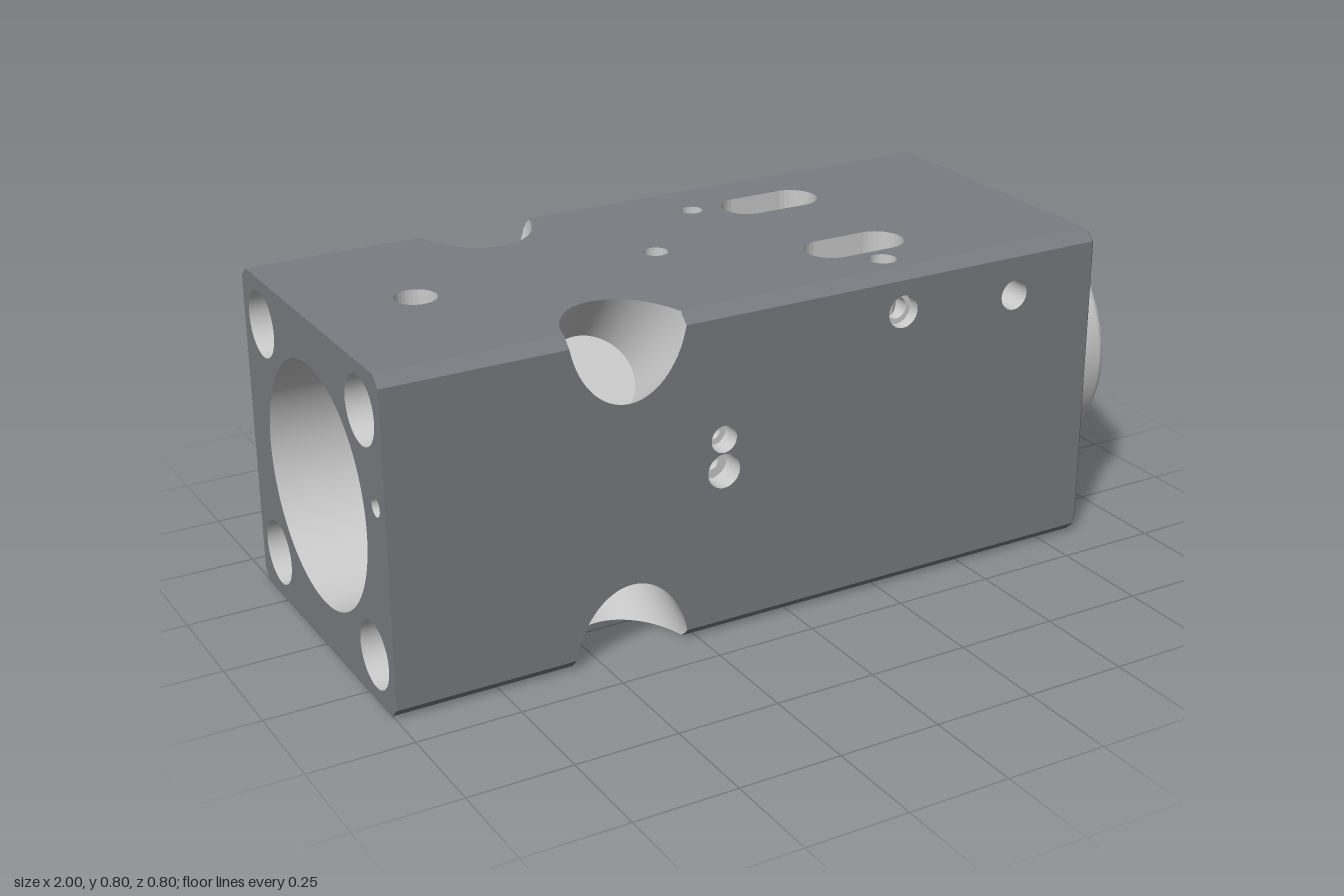
import * as THREE from 'three';
import { toCreasedNormals } from 'three/addons/utils/BufferGeometryUtils.js';
import { ParametricGeometry } from 'three/addons/geometries/ParametricGeometry.js';

const dark = new THREE.MeshStandardMaterial({ color: 0x7b7d82, side: THREE.DoubleSide });
const light = new THREE.MeshStandardMaterial({ color: 0xcccccc, side: THREE.DoubleSide });

const X0 = -1, X1 = 0.85, H = 0.4, C = 0.025, BORE = 0.29, BORE_END = 0.7;
const BOLT = 0.29, BOLT_R = 0.05;
// corner pockets: tapered, flat-bottomed, drilled diagonally through the long edges
const PX = -0.42, PR = 0.147, TAPER = 0.157, PD = 0.26;
const pocketR = d => PR - TAPER * d;
const cutDepth = s => PR * s / (1 + TAPER * s);
const D0 = C / Math.SQRT2, A0 = Math.asin(D0 / pocketR(D0));
const BOLT_D = (H - BOLT) * Math.SQRT2;

function add(parent, name, geometry, material = light) {
  const mesh = new THREE.Mesh(geometry, material);
  mesh.name = name;
  parent.add(mesh);
  return mesh;
}

const sheet = (f, nu, nv = 1) => new ParametricGeometry((u, v, p) => p.set(...f(u, v)), nu, nv);

// round (half = 0) or slotted hole outline
function outline(x, y, r, half = 0, n = 32) {
  return Array.from({ length: n }, (_, i) => {
    const a = (i + 0.5) / n * Math.PI * 2;
    return new THREE.Vector2(x + r * Math.cos(a) + Math.sign(Math.cos(a)) * half, y + r * Math.sin(a));
  });
}

function plate(points, holes) {
  const shape = new THREE.Shape(points);
  for (const h of holes) shape.holes.push(new THREE.Path(outline(...h)));
  return new THREE.ShapeGeometry(shape);
}

// wall of a hole running along z, from zTop to zEnd (a number, or a rule of the height)
function holeWall(x, y, r, half, zTop, zEnd, n = 32) {
  const pts = outline(x, y, r, half, n);
  return sheet((u, v) => {
    const p = pts[Math.round(u * n) % n];
    const e = typeof zEnd === 'number' ? zEnd : zEnd(p.y);
    return [p.x, p.y, zTop + (e - zTop) * v];
  }, n);
}
const toBore = y => Math.sqrt(Math.max(0, BORE * BORE - y * y));

// holes of one side: x, y, radius, half slot, depth (none = into bore), inner radius, inner depth, open
const pins = [[-0.74, 0, 0.05, 0], [-0.13, 0, 0.03, 0]];
const slots = [[0.3, 0.19, 0.065, 0.065], [0.3, -0.19, 0.065, 0.065]];
const sideHoles = s => [
  [0.3, 0.298 * s, 0.04, 0, 0.03, 0.027, 0.145, true],
  [0.62, 0.28 * s, 0.037, 0, 0.08],
];
const sides = [
  ['front', [...sideHoles(1), [-0.18, 0.083, 0.033, 0, 0.05, 0.018, 0.09], [-0.18, 0.005, 0.042, 0, 0.06, 0.02, 0.09]]],
  ['bottom', [...pins, ...slots, [0.1, -0.23, 0.027, 0], [0.3, 0.31, 0.033, 0]]],
  ['back', sideHoles(-1)],
  ['top', [...pins, ...slots, [0.1, 0.23, 0.027, 0], [0.3, -0.31, 0.033, 0]]],
];

// side face with two bites where the pockets break through
function sideOutline() {
  const bite = [];
  for (let i = 0; i <= 32; i++) {
    const a = Math.PI - A0 - (Math.PI - 2 * A0) * i / 32, d = cutDepth(Math.sin(a));
    bite.push(new THREE.Vector2(PX + pocketR(d) * Math.cos(a), Math.SQRT2 * d - H));
  }
  const lower = [new THREE.Vector2(X0, C - H), ...bite, new THREE.Vector2(X1, C - H)];
  return [...lower, ...lower.map(p => new THREE.Vector2(p.x, -p.y)).reverse()];
}

function addSide(parent, name, holes) {
  add(parent, name + 'Face', plate(sideOutline(), holes.map(h => h.slice(0, 4))), dark);
  for (const [x, y, r, half, depth, inner = 0, depth2 = 0, open] of holes) {
    add(parent, name + 'HoleWall', holeWall(x, y, r, half, 0, depth ? -depth : v => toBore(v) - H));
    if (!depth) continue;
    const floor = inner ? new THREE.RingGeometry(inner, r, 32) : new THREE.CircleGeometry(r, 32);
    add(parent, name + 'HoleFloor', floor).position.set(x, y, -depth);
    if (!inner) continue;
    add(parent, name + 'InnerHole', holeWall(x, y, inner, 0, -depth, -depth2));
    if (!open) add(parent, name + 'InnerFloor', new THREE.CircleGeometry(inner, 24)).position.set(x, y, -depth2);
  }
}

function addPocket(parent) {
  const at = (a, d) => {
    const r = pocketR(d), s = r * Math.sin(a);
    return [PX + r * Math.cos(a), H + (s - d) / Math.SQRT2, H - (s + d) / Math.SQRT2];
  };
  const start = a => Math.max(D0, cutDepth(Math.abs(Math.sin(a))));
  const rb = pocketR(BOLT_D), beta = Math.asin(BOLT_R / rb);
  const strip = (a0, a1, from, to, n) => add(parent, 'cornerPocketWall', sheet((u, v) => {
    const a = a0 + (a1 - a0) * u, f = from(a), t = to(a);
    return at(a, f + (t - f) * v);
  }, n, 4));
  const half = a => Math.sqrt(Math.max(0, BOLT_R ** 2 - (rb * Math.sin(a)) ** 2));
  strip(beta - Math.PI, Math.PI - beta, start, () => PD, 72);
  strip(Math.PI - beta, Math.PI + beta, start, a => BOLT_D - half(a), 24);
  strip(Math.PI - beta, Math.PI + beta, a => BOLT_D + half(a), () => PD, 24);
  add(parent, 'cornerPocketFloor', sheet((u, v) => {
    const p = at(u * Math.PI * 2, PD), c = H - PD / Math.SQRT2;
    return [PX + (p[0] - PX) * v, c + (p[1] - c) * v, c + (p[2] - c) * v];
  }, 48));

  // bolt passage from the counterbore into the pocket
  add(parent, 'boltPassage', sheet((u, v) => {
    const a = u * Math.PI * 2, d = BOLT_D + BOLT_R * Math.cos(a), l = BOLT_R * Math.sin(a);
    const end = PX - Math.sqrt(pocketR(d) ** 2 - l * l);
    return [-0.75 + (end + 0.75) * v, H + (l - d) / Math.SQRT2, H - (l + d) / Math.SQRT2];
  }, 32));
}

// tube along x
function addTube(parent, name, y, z, r, xa, xb) {
  add(parent, name, sheet((u, v) => {
    const a = u * Math.PI * 2;
    return [xa + (xb - xa) * v, y + r * Math.cos(a), z + r * Math.sin(a)];
  }, 32));
}
function addDisc(parent, name, y, z, x, inner, r, facing) {
  const m = add(parent, name, inner ? new THREE.RingGeometry(inner, r, 32) : new THREE.CircleGeometry(r, 32));
  m.position.set(x, y, z);
  m.rotation.y = facing * Math.PI / 2;
}

// main bore, strip by strip around the axis, leaving gaps for the cross holes
function boreWall() {
  const chord = (r, t) => Math.sqrt(Math.max(0, r * r - t * t));
  const edges = i => {
    const a = i / 180 * Math.PI * 2, y = BORE * Math.cos(a), z = BORE * Math.sin(a);
    const inSlot = chord(0.065, Math.abs(z) - 0.19);
    const gaps = [[-0.74, chord(0.05, z)], [0.1, chord(0.027, z + 0.23)],
      [0.3, inSlot ? inSlot + 0.065 : chord(0.027, y - 0.298)]];
    return [X0, ...gaps.flatMap(([x, w]) => [x - w, x + w]), BORE_END].map(x => [x, y, z]);
  };
  const pos = [], nor = [];
  for (let i = 0; i < 180; i++) {
    const p = edges(i), q = edges(i + 1);
    for (let k = 0; k < p.length; k += 2) {
      for (const c of [p[k], p[k + 1], q[k + 1], p[k], q[k + 1], q[k]]) {
        pos.push(...c);
        nor.push(0, -c[1] / BORE, -c[2] / BORE);
      }
    }
  }
  const g = new THREE.BufferGeometry();
  g.setAttribute('position', new THREE.Float32BufferAttribute(pos, 3));
  g.setAttribute('normal', new THREE.Float32BufferAttribute(nor, 3));
  return g;
}

function octagon(inset) {
  const a = H - inset, b = H - C - inset * 0.41;
  return [[a, -b], [a, b], [b, a], [-b, a], [-a, b], [-a, -b], [-b, -a], [b, -a]].map(p => new THREE.Vector2(...p));
}

export function createModel() {
  const model = new THREE.Group();
  const body = new THREE.Group();
  body.name = 'cylinderBlock';
  body.position.y = H;
  model.add(body);

  // four sides, each with its long edge, corner pocket and bolt holes
  sides.forEach(([name, holes], k) => {
    const quarter = new THREE.Group();
    quarter.name = name + 'Side';
    quarter.rotation.x = k * Math.PI / 2;
    body.add(quarter);
    const face = new THREE.Group();
    face.position.z = H;
    quarter.add(face);
    addSide(face, name, holes);
    const w = pocketR(D0) * Math.cos(A0);
    for (const [a, b] of [[X0, PX - w], [PX + w, X1]])
      add(quarter, 'edgeChamfer', sheet((u, v) => [a + (b - a) * u, H - C * v, H - C * (1 - v)], 1), dark);
    addPocket(quarter);
    addTube(quarter, 'boltCounterbore', BOLT, BOLT, 0.08, X0, -0.75);
    addDisc(quarter, 'counterboreFloor', BOLT, BOLT, -0.75, BOLT_R, 0.08, -1);
    addTube(quarter, 'endBoltHole', BOLT, BOLT, 0.034, X1 + 0.01, 0.72);
    addDisc(quarter, 'endBoltFloor', BOLT, BOLT, 0.72, 0, 0.034, 1);
  });

  // end faces
  const bolts = r => [[1, 1], [1, -1], [-1, 1], [-1, -1]].map(([a, b]) => [a * BOLT, b * BOLT, r]);
  const rear = add(body, 'openEndFace', plate(octagon(0), [[0, 0, BORE, 0, 90], [0.35, 0.09, 0.022], ...bolts(0.08)]), dark);
  rear.position.x = X0;
  rear.rotation.y = -Math.PI / 2;
  const nose = add(body, 'collarEndFace', plate(octagon(0.01), [[0, 0, 0.25], ...bolts(0.034)]), dark);
  nose.position.x = X1 + 0.01;
  nose.rotation.y = Math.PI / 2;
  const outer = octagon(0), inner = octagon(0.01);
  add(body, 'endBevel', toCreasedNormals(sheet((u, v) => {
    const i = Math.round(u * 8) % 8, p = v < 0.5 ? outer[i] : inner[i];
    return [X1 + 0.01 * v, p.y, p.x];
  }, 8), 0.3), dark);

  // main bore and small port channel
  add(body, 'mainBore', boreWall());
  addTube(body, 'portChannel', 0.09, 0.35, 0.022, X0, -0.215);

  // collar with tapered mouth and inner seal groove
  const profile = [[BORE, BORE_END], [0.142, BORE_END], [0.142, 0.74], [0.17, 0.74], [0.17, 0.8], [0.142, 0.8],
    [0.185, 0.975], [0.188, 0.989], [0.194, 0.997], [0.204, 1], [0.285, 1], [0.294, 0.997], [0.299, 0.991],
    [0.301, 0.98], [0.301, 0.875], [0.296, 0.87], [0.28, 0.87], [0.28, X1]];
  const lathe = new THREE.LatheGeometry(profile.map(p => new THREE.Vector2(...p)), 96);
  add(body, 'collar', toCreasedNormals(lathe, 0.6)).rotation.z = -Math.PI / 2;
  return model;
}
